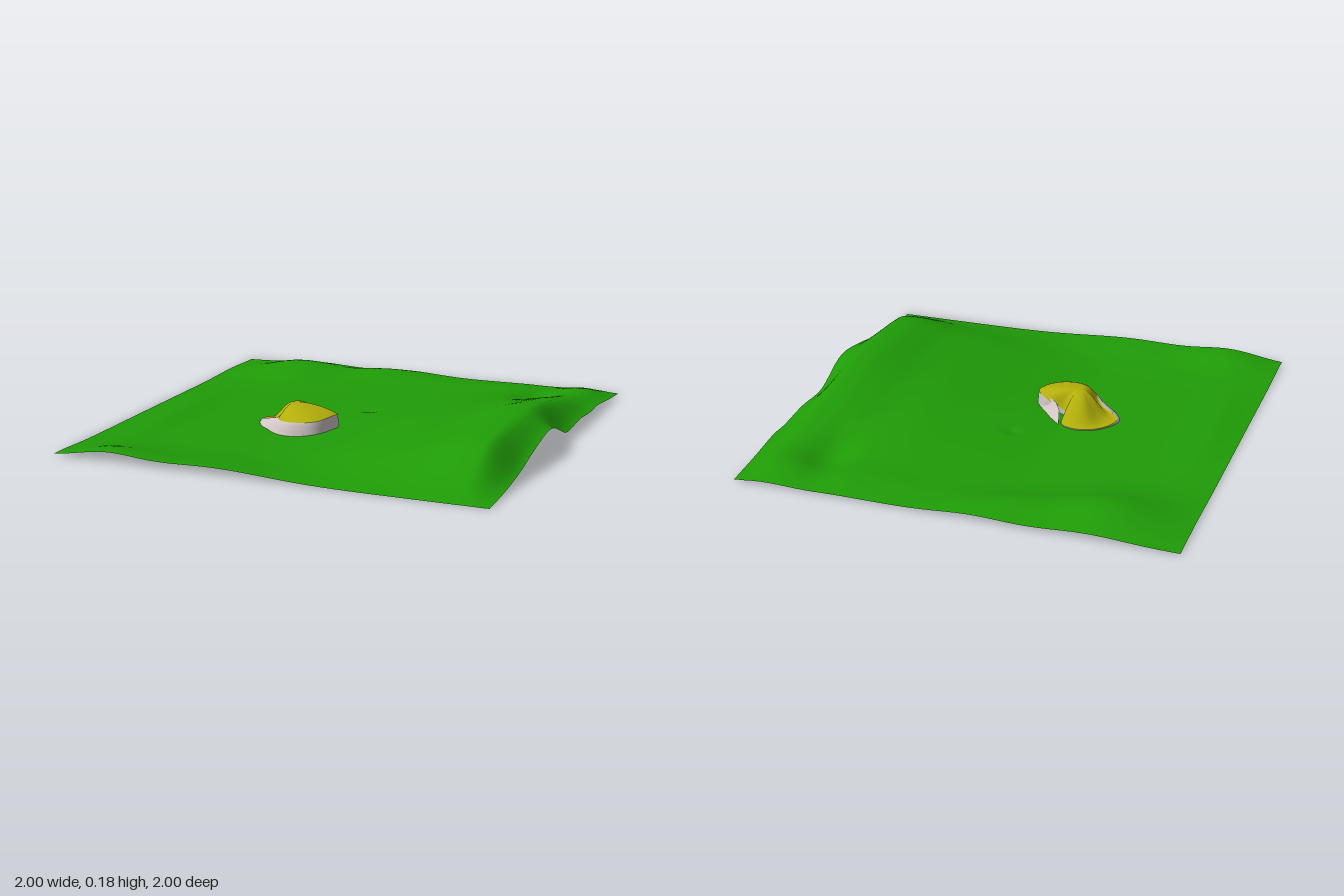
import * as THREE from 'three';

const N = 192; // points around every ring
const CENTRE = [-0.22, 0.15]; // middle of the mound

// Smooth interpolation through rows of [position, value, value...]
function sample(rows, v, k = 1) {
  const last = rows.length - 1;
  let i = 0;
  while (i < last - 1 && v > rows[i + 1][0]) i++;
  const a = rows[i], b = rows[i + 1], p = rows[Math.max(i - 1, 0)], n = rows[Math.min(i + 2, last)];
  const d = b[0] - a[0], t = Math.min(1, Math.max(0, (v - a[0]) / d));
  const ma = (b[k] - p[k]) / (b[0] - p[0]) * d, mb = (n[k] - a[k]) / (n[0] - a[0]) * d;
  const t2 = t * t, t3 = t2 * t;
  return (2 * t3 - 3 * t2 + 1) * a[k] + (t3 - 2 * t2 + t) * ma + (3 * t2 - 2 * t3) * b[k] + (t3 - t2) * mb;
}

// Ridge height along z, height of the +x edge along z, and ridge strength along x
const RIDGE = [[-1, 0.03], [-0.85, 0.07], [-0.7, 0.075], [-0.6, 0.088], [-0.4, 0.12], [-0.2, 0.155], [0, 0.183],
  [0.2, 0.188], [0.4, 0.184], [0.6, 0.172], [0.7, 0.14], [0.8, 0.095], [0.9, 0.05], [1, 0.015]];
const EDGE = [[-1, 0.02], [-0.8, 0.035], [-0.6, 0.055], [-0.5, 0.05], [-0.3, 0.06], [-0.1, 0.05], [0, 0.08],
  [0.1, 0.12], [0.2, 0.132], [0.4, 0.1], [0.6, 0.055], [0.8, 0.028], [1, 0.015]];
const ACROSS = [[-1, 0], [-0.2, 0], [0, 0.12], [0.2, 0.3], [0.4, 0.52], [0.6, 0.71], [0.7, 0.87], [0.8, 1], [1, 1]];

// Rounded hill, stretched along a turned axis: x, z, height, length, width, turn
const HILLS = [
  [-0.64, -0.8, 0.066, 0.24, 0.18, 0.35],
  [-0.2, -0.87, 0.045, 0.25, 0.12, 0.37],
  [-0.74, 0.95, 0.042, 0.2, 0.16, 0],
  [-0.25, 0.98, 0.03, 0.35, 0.2, 0],
  [-0.85, 0.2, 0.01, 0.09, 0.4, 0],
  [0.01, -0.18, -0.01, 0.04, 0.03, 0],
  [0.68, -0.72, -0.045, 0.1, 0.18, 0],
];

function ground(x, z) {
  const base = 0.016;
  const drop = THREE.MathUtils.smoothstep(x, 0.86, 1.01);
  const ridge = THREE.MathUtils.lerp(sample(RIDGE, z), sample(EDGE, z), drop);
  let y = base + (ridge - base) * sample(ACROSS, x);
  for (const [cx, cz, h, l, w, turn] of HILLS) {
    const u = (x - cx) * Math.cos(turn) - (z - cz) * Math.sin(turn);
    const v = (x - cx) * Math.sin(turn) + (z - cz) * Math.cos(turn);
    y += h * Math.exp(-((u / l) ** 2) - (v / w) ** 2);
  }
  return Math.max(0, y);
}

// Mound outline by angle: degrees, radius, share of radius at the cap edge,
// cap edge height, slackness of the cap slope
const MOUND = [
  [-15, 0.176, 0.93, 0.08, 1], [-1, 0.21, 0.97, 0.095, 1], [17, 0.21, 0.97, 0.095, 1], [43, 0.212, 0.96, 0.085, 1],
  [70, 0.187, 0.91, 0.078, 1], [95, 0.166, 0.82, 0.072, 1], [120, 0.145, 0.72, 0.068, 1.2],
  [141, 0.142, 0.62, 0.065, 1.6], [173, 0.176, 0.62, 0.05, 2.6], [191, 0.204, 0.93, 0.028, 4],
  [216, 0.204, 1, 0.02, 3.5], [242, 0.204, 1, 0.02, 2], [269, 0.19, 1, 0.02, 1.5], [288, 0.158, 1, 0.022, 1.3],
  [299, 0.1, 1, 0.035, 1], [326, 0.1, 1, 0.05, 1], [345, 0.176, 0.93, 0.08, 1], [359, 0.21, 0.97, 0.095, 1],
];

// Points on the square border, evenly spaced and hitting the corners
const border = Array.from({ length: N }, (_, i) => {
  const side = Math.floor(i / (N / 4)), t = (i % (N / 4)) / (N / 8) - 1;
  return [[1, t], [-t, 1], [-1, -t], [t, -1]][side];
});

// For every border point, the matching outline and cap edge of the mound
const spokes = border.map(([bx, bz]) => {
  const a = Math.atan2(bz - CENTRE[1], bx - CENTRE[0]);
  let deg = THREE.MathUtils.radToDeg(a);
  if (deg < -15) deg += 360;
  const r = sample(MOUND, deg, 1), share = Math.min(1, sample(MOUND, deg, 2));
  const at = (s) => [CENTRE[0] + Math.cos(a) * r * s, CENTRE[1] + Math.sin(a) * r * s];
  const [x, z] = at(1);
  const foot = ground(x, z);
  return { bx, bz, x, z, at, share, foot, rimY: Math.max(foot, sample(MOUND, deg, 3)), slack: sample(MOUND, deg, 4) };
});

// Closed rings joined from the inside out; place(spoke, t) gives a point
function rings(count, place) {
  const pos = [], index = [];
  for (let r = 0; r <= count; r++) {
    for (let i = 0; i < N; i++) {
      pos.push(...place(spokes[i], r / count));
      if (r === count) continue;
      const a = r * N + i, c = r * N + (i + 1) % N, b = a + N, d = c + N;
      index.push(a, c, b, b, c, d);
    }
  }
  const g = new THREE.BufferGeometry();
  g.setAttribute('position', new THREE.Float32BufferAttribute(pos, 3));
  g.setIndex(index);
  g.computeVertexNormals();
  return g;
}

export function createModel() {
  const group = new THREE.Group();
  const material = (name, color) => {
    const m = new THREE.MeshStandardMaterial({ color, side: THREE.DoubleSide });
    m.name = name;
    return m;
  };
  const green = material('grass green', 0x1f9c07);
  const yellow = material('yellow', 0xb2ae0a);
  const white = material('pale grey', 0xd0c4c4);
  const add = (name, geometry, mat) => {
    const mesh = new THREE.Mesh(geometry, mat);
    mesh.name = name;
    group.add(mesh);
  };

  // Rolling sheet of land, open under the mound
  add('land', rings(72, (s, t) => {
    const x = THREE.MathUtils.lerp(s.x, s.bx, t), z = THREE.MathUtils.lerp(s.z, s.bz, t);
    return [x, ground(x, z), z];
  }), green);

  // Pale skirt from the cap edge down to the land
  add('moundSkirt', rings(6, (s, t) => {
    const [x, z] = s.at(THREE.MathUtils.lerp(s.share, 1, t));
    return [x, THREE.MathUtils.lerp(s.rimY, s.foot, t ** 1.5), z];
  }), white);

  // Domed yellow cap
  add('moundCap', rings(16, (s, t) => {
    const [x, z] = s.at(s.share * t);
    return [x, s.rimY + (0.132 - s.rimY) * (1 - t ** 2.4) ** s.slack, z];
  }), yellow);

  // Small pale fin beside the notch: outer foot and inner crest
  const foot = [[-0.165, -0.02], [-0.11, 0.03], [-0.07, 0.075], [-0.03, 0.115]];
  const crest = [[-0.158, 0.01, 0.035], [-0.147, 0.05, 0.055], [-0.122, 0.085, 0.075], [-0.06, 0.12, 0.095]];
  const pos = [], index = [];
  foot.forEach(([x, z], i) => {
    const [cx, cz, cy] = crest[i];
    pos.push(x, ground(x, z), z, cx, cy, cz);
    if (i < 3) index.push(2 * i, 2 * i + 1, 2 * i + 2, 2 * i + 1, 2 * i + 3, 2 * i + 2);
  });
  const fin = new THREE.BufferGeometry();
  fin.setAttribute('position', new THREE.Float32BufferAttribute(pos, 3));
  fin.setIndex(index);
  fin.computeVertexNormals();
  add('moundFin', fin, white);

  return group;
}
